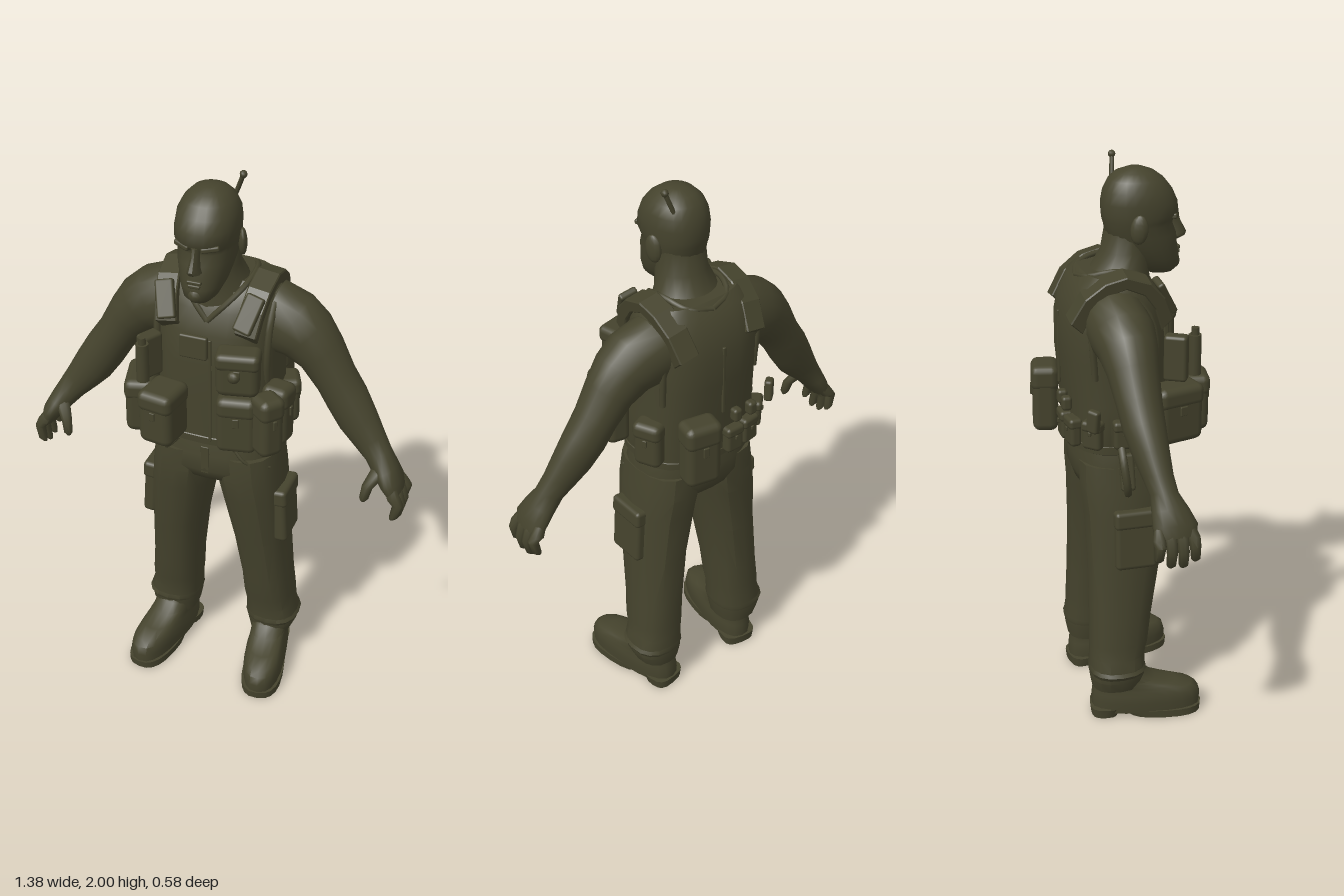
import * as THREE from 'three';
import { toCreasedNormals } from 'three/addons/utils/BufferGeometryUtils.js';
import { RoundedBoxGeometry } from 'three/addons/geometries/RoundedBoxGeometry.js';

const olive = new THREE.MeshStandardMaterial({ color: 0x45432d });
olive.name = 'olive';

// Skin stacked rings [x, y, z, a, b, tilt], lowest first; tilt leans a ring in the xy plane
function loft(rings, n = 20, power = 2, crease = 0.75) {
  const pos = [], idx = [];
  const sp = (v) => Math.sign(v) * Math.pow(Math.abs(v), 2 / power);
  for (const [x, y, z, a, b, t = 0] of rings) {
    for (let i = 0; i < n; i++) {
      const q = (i / n) * Math.PI * 2, u = a * sp(Math.cos(q));
      pos.push(x + u * Math.cos(t), y + u * Math.sin(t), z + b * sp(Math.sin(q)));
    }
  }
  const last = rings.length - 1;
  for (let j = 0; j < last; j++) {
    for (let i = 0; i < n; i++) {
      const p = j * n + i, q = j * n + (i + 1) % n;
      idx.push(p, p + n, q, q, p + n, q + n);
    }
  }
  const lo = rings.length * n;
  pos.push(...rings[0].slice(0, 3), ...rings[last].slice(0, 3));
  for (let i = 0; i < n; i++) {
    const k = (i + 1) % n;
    idx.push(lo, i, k, lo + 1, last * n + k, last * n + i);
  }
  const g = new THREE.BufferGeometry();
  g.setAttribute('position', new THREE.Float32BufferAttribute(pos, 3));
  g.setIndex(idx);
  return toCreasedNormals(g, crease);
}

// Ring given as height, front z, back z, half width
const slab = (cx) => ([y, zf, zb, w]) => [cx, y, (zf + zb) / 2, w, (zf - zb) / 2];

function add(parent, name, geo, p = [0, 0, 0], r = [0, 0, 0]) {
  const m = new THREE.Mesh(geo, olive);
  m.name = name;
  m.position.set(...p);
  m.rotation.set(...r);
  parent.add(m);
  return m;
}

const box = (w, h, d, r = 0.012) => new RoundedBoxGeometry(w, h, d, 2, Math.min(r, w / 3, h / 3, d / 3));

// Pouch with a lid flap and a tab on its +z face
function pouch(parent, name, p, [w, h, d], ry = 0) {
  const g = new THREE.Group();
  g.name = name;
  g.position.set(...p);
  g.rotation.y = ry;
  add(g, 'pouchBody', box(w, h, d, 0.028));
  add(g, 'pouchFlap', box(w + 0.004, h * 0.38, d + 0.008, 0.026), [0, h * 0.32, 0]);
  add(g, 'pouchTab', box(w * 0.16, h * 0.16, 0.008), [0, h * 0.1, d / 2 + 0.003]);
  parent.add(g);
}

const tube = (pts, r) => new THREE.TubeGeometry(
  new THREE.CatmullRomCurve3(pts.map((p) => new THREE.Vector3(...p))), 16, r, 7);

function buildHead() {
  const g = new THREE.Group();
  g.name = 'head';
  add(g, 'skull', loft([
    [1.605, 0.185, 0.10, 0.035], [1.625, 0.205, 0.06, 0.056], [1.66, 0.205, 0.02, 0.073],
    [1.70, 0.198, -0.02, 0.084], [1.74, 0.194, -0.045, 0.093], [1.775, 0.180, -0.05, 0.097],
    [1.79, 0.183, -0.055, 0.10], [1.81, 0.201, -0.058, 0.103], [1.85, 0.196, -0.06, 0.104],
    [1.89, 0.178, -0.052, 0.099], [1.925, 0.150, -0.035, 0.082], [1.948, 0.118, -0.01, 0.058],
    [1.962, 0.08, 0.03, 0.025],
  ].map(slab(-0.012)), 24, 2.2, 0.9));
  add(g, 'neck', loft([
    [1.50, 0.11, -0.15, 0.15], [1.58, 0.105, -0.13, 0.135], [1.63, 0.10, -0.095, 0.108],
    [1.69, 0.11, -0.06, 0.088], [1.77, 0.10, -0.045, 0.085],
  ].map(slab(-0.008)), 20, 2));
  add(g, 'nose', loft([
    [1.712, 0.205, 0.16, 0.018], [1.722, 0.228, 0.16, 0.025], [1.735, 0.234, 0.16, 0.021],
    [1.775, 0.212, 0.16, 0.013], [1.805, 0.204, 0.16, 0.014],
  ].map(slab(-0.012)), 10));
  add(g, 'upperLip', box(0.05, 0.012, 0.026), [-0.012, 1.686, 0.194]);
  add(g, 'lowerLip', box(0.042, 0.012, 0.026), [-0.012, 1.672, 0.194]);
  add(g, 'chin', new THREE.SphereGeometry(0.03, 12, 8), [-0.012, 1.637, 0.182]);
  for (const s of [-1, 1]) {
    add(g, 'brow', box(0.06, 0.018, 0.03), [-0.012 + s * 0.045, 1.803, 0.176], [0, s * 0.4, s * 0.12]);
    const ear = add(g, 'ear', new THREE.SphereGeometry(0.05, 12, 8), [-0.012 + s * 0.105, 1.777, 0.042], [0.1, s * 0.35, 0]);
    ear.scale.set(0.3, 0.98, 0.6);
  }
  add(g, 'antenna', tube([[0.04, 1.89, -0.01], [0.06, 1.94, -0.005], [0.075, 1.98, 0]], 0.008));
  add(g, 'antennaTip', new THREE.SphereGeometry(0.013, 8, 6), [0.078, 1.987, 0]);
  return g;
}

// Left arm and hand, from the wrist up
function buildArm() {
  const g = new THREE.Group();
  g.name = 'arm';
  add(g, 'armSkin', loft([
    [0.648, 0.925, 0.02, 0.028, 0.066, 0.35], [0.632, 0.96, 0.02, 0.038, 0.074, 0.4],
    [0.605, 1.00, 0.012, 0.044, 0.062, 0.5], [0.572, 1.045, 0, 0.05, 0.046, 0.55],
    [0.535, 1.09, -0.01, 0.06, 0.05, 0.55], [0.49, 1.15, -0.02, 0.072, 0.06, 0.6],
    [0.445, 1.22, -0.03, 0.076, 0.07, 0.62], [0.40, 1.29, -0.035, 0.074, 0.075, 0.65],
    [0.345, 1.375, -0.04, 0.086, 0.085, 0.7], [0.29, 1.43, -0.042, 0.106, 0.098, 0.8],
    [0.235, 1.46, -0.045, 0.122, 0.108, 1.0], [0.17, 1.485, -0.05, 0.118, 0.105, 1.3],
  ], 18, 2, 1));
  for (let i = 0; i < 4; i++) {
    const z = 0.076 - i * 0.038, tip = [0.84, 0.822, 0.826, 0.85][i];
    add(g, 'finger', loft([
      [0.655, tip, z * 1.06, 0.008, 0.008], [0.662, tip + 0.012, z * 1.06, 0.016, 0.016],
      [0.672, tip + 0.06, z, 0.019, 0.019, 0.1], [0.655, 0.925, z, 0.024, 0.021, 0.3],
      [0.632, 0.965, z * 0.8, 0.02, 0.018, 0.4],
    ], 8, 2, 1));
  }
  add(g, 'thumb', loft([
    [0.553, 0.895, 0.088, 0.007, 0.007], [0.555, 0.908, 0.087, 0.016, 0.016],
    [0.562, 0.95, 0.078, 0.019, 0.019, -0.2], [0.59, 1.0, 0.045, 0.026, 0.026, -0.3],
    [0.605, 1.03, 0.02, 0.015, 0.02],
  ], 8, 2, 1));
  return g;
}

// Left trouser leg, cargo pocket and boot
function buildLeg() {
  const g = new THREE.Group();
  g.name = 'leg';
  add(g, 'trouserLeg', loft([
    [0.19, 0.12, -0.058, 0.078, 0.088], [0.195, 0.165, -0.057, 0.092, 0.098],
    [0.194, 0.21, -0.056, 0.096, 0.1], [0.188, 0.25, -0.054, 0.09, 0.098],
    [0.184, 0.30, -0.048, 0.092, 0.104], [0.176, 0.4, -0.04, 0.09, 0.11],
    [0.158, 0.6, -0.022, 0.097, 0.127], [0.132, 0.8, -0.01, 0.112, 0.147],
    [0.118, 0.89, -0.008, 0.117, 0.158], [0.11, 0.98, -0.01, 0.112, 0.155],
  ], 16, 2.4, 0.5));
  add(g, 'cuffFold', loft([
    [0.195, 0.175, -0.057, 0.09, 0.096], [0.197, 0.195, -0.056, 0.1, 0.104], [0.19, 0.225, -0.056, 0.09, 0.096],
  ], 16, 2.4));
  add(g, 'cargoPocket', box(0.05, 0.2, 0.145, 0.016), [0.247, 0.715, -0.003], [0, 0, 0.06]);
  add(g, 'cargoFlap', box(0.054, 0.065, 0.15, 0.014), [0.245, 0.80, -0.003], [0, 0, 0.06]);
  add(g, 'hipPocketSeam', tube([[0.1, 1.03, 0.137], [0.145, 0.98, 0.136], [0.212, 0.94, 0.075]], 0.006));
  const boot = new THREE.Group();
  boot.name = 'boot';
  boot.position.set(0.19, 0, -0.04);
  boot.rotation.y = 0.17;
  add(boot, 'bootUpper', loft([
    [0.02, 0.287, -0.105, 0.072], [0.06, 0.29, -0.108, 0.075], [0.09, 0.282, -0.105, 0.073],
    [0.108, 0.26, -0.103, 0.068], [0.122, 0.2, -0.102, 0.066], [0.14, 0.125, -0.1, 0.066],
    [0.17, 0.085, -0.1, 0.07], [0.2, 0.07, -0.1, 0.07],
  ].map(slab(0)), 20, 2.5));
  add(boot, 'foreSole', loft([[0, 0.29, 0.02, 0.075], [0.028, 0.293, 0.0, 0.076]].map(slab(0)), 20, 2.6));
  add(boot, 'heel', loft([[0, -0.01, -0.108, 0.062], [0.035, 0.01, -0.112, 0.068]].map(slab(0)), 16, 3));
  g.add(boot);
  return g;
}

function buildVest() {
  const g = new THREE.Group();
  g.name = 'vest';
  add(g, 'vestShell', loft([
    [1.03, 0.135, -0.175, 0.212], [1.045, 0.148, -0.188, 0.22], [1.2, 0.148, -0.195, 0.214],
    [1.35, 0.15, -0.21, 0.208], [1.46, 0.138, -0.21, 0.208], [1.54, 0.112, -0.192, 0.205],
    [1.60, 0.078, -0.16, 0.19], [1.63, 0.045, -0.13, 0.16],
  ].map(slab(0)), 28, 2.8, 0.6));
  add(g, 'hemBand', loft([
    [1.028, 0.137, -0.177, 0.213], [1.034, 0.15, -0.19, 0.222], [1.06, 0.151, -0.191, 0.222], [1.066, 0.145, -0.185, 0.214],
  ].map(slab(0)), 28, 2.8));
  // Shoulder straps bent over each shoulder, modelled about the shoulder height
  const top = 1.6;
  const arc = [[0.14, 1.49], [0.11, 1.565], [0.06, 1.62], [-0.02, 1.648], [-0.09, 1.63], [-0.155, 1.58], [-0.2, 1.5]];
  const shape = new THREE.Shape();
  arc.forEach(([z, y], i) => (i ? shape.lineTo(z, y - top) : shape.moveTo(z, y - top)));
  [...arc].reverse().forEach(([z, y]) => shape.lineTo((z + 0.02) * 0.8 - 0.02, y - 0.035 - top));
  const strap = new THREE.ExtrudeGeometry(shape, { depth: 0.07, bevelEnabled: true, bevelSize: 0.004, bevelThickness: 0.004, bevelSegments: 1 });
  strap.translate(0, 0, -0.035).rotateY(-Math.PI / 2);
  for (const s of [-1, 1]) {
    add(g, 'shoulderStrap', strap, [s * 0.155, top, 0], [0, 0, -s * 0.15]);
    add(g, 'strapPad', box(0.065, 0.13, 0.025), [s * 0.145, 1.56, 0.122], [-0.5, 0, -s * 0.25]);
    add(g, 'collarEdge', tube([[0, 1.505, 0.12], [s * 0.055, 1.565, 0.102], [s * 0.105, 1.62, 0.05],
      [s * 0.115, 1.642, -0.04], [s * 0.08, 1.622, -0.12], [0, 1.608, -0.146]], 0.01));
    add(g, 'armholeEdge', tube([[s * 0.19, 1.25, 0.06], [s * 0.196, 1.4, 0.08], [s * 0.198, 1.52, 0.05],
      [s * 0.196, 1.585, -0.04], [s * 0.2, 1.5, -0.13], [s * 0.196, 1.3, -0.13]], 0.012));
  }
  add(g, 'frontZip', box(0.01, 0.4, 0.008), [0.02, 1.25, 0.148]);
  add(g, 'backSeam', box(0.012, 0.26, 0.01), [0, 1.36, -0.207]);
  return g;
}

function buildGear() {
  const g = new THREE.Group();
  g.name = 'gear';
  add(g, 'chestPatch', box(0.1, 0.085, 0.02), [-0.038, 1.415, 0.148], [-0.04, 0, 0]);
  pouch(g, 'chestPouch', [0.13, 1.37, 0.175], [0.145, 0.16, 0.085], 0.22);
  add(g, 'chestPouchKnob', new THREE.SphereGeometry(0.022, 10, 8), [0.13, 1.375, 0.218]);
  pouch(g, 'leftFrontPouch', [0.125, 1.165, 0.17], [0.135, 0.21, 0.07], 0.2);
  pouch(g, 'rightFrontPouch', [-0.125, 1.175, 0.21], [0.125, 0.2, 0.14], -0.15);
  pouch(g, 'rightSidePouch', [-0.23, 1.175, 0.14], [0.17, 0.2, 0.1], -1.3);
  for (const [x, z, ry] of [[0.23, 0.165, 0.9], [0.24, 0.08, 1.4]]) {
    pouch(g, 'leftSidePouch', [x, 1.18, z], [0.09, 0.22, 0.09], ry);
  }
  // Radio on the right chest
  add(g, 'radio', box(0.05, 0.16, 0.08), [-0.195, 1.355, 0.15], [0, -0.5, 0]);
  add(g, 'radioBarrel', new THREE.CylinderGeometry(0.022, 0.022, 0.14, 12), [-0.193, 1.36, 0.215]);
  add(g, 'radioKnob', new THREE.CylinderGeometry(0.014, 0.014, 0.03, 8), [-0.193, 1.44, 0.215]);
  // Back and flank pouches
  pouch(g, 'backPouch', [0.12, 1.14, -0.232], [0.13, 0.24, 0.09], Math.PI - 0.2);
  pouch(g, 'leftRearPouch', [0.22, 1.14, -0.09], [0.1, 0.17, 0.07], 2.0);
  for (const [x, y, z, ry] of [[-0.05, 1.1, -0.2, 0], [-0.125, 1.1, -0.19, 0.15], [-0.205, 1.11, -0.14, 0.8], [-0.228, 1.11, -0.04, 1.5]]) {
    pouch(g, 'smallPouch', [x, y, z], [0.07, 0.1, 0.04], Math.PI + ry);
  }
  for (const x of [-0.055, -0.12]) add(g, 'backClip', box(0.035, 0.05, 0.035), [x, 1.2, -0.21]);
  add(g, 'flankClip', box(0.045, 0.08, 0.03), [-0.255, 1.18, -0.15], [0, 0.7, 0.1]);
  // Carry loop and sheath on the right hip
  add(g, 'hipLoop', tube([[-0.225, 1.08, -0.05], [-0.27, 1.02, -0.05], [-0.28, 0.94, -0.04], [-0.25, 0.9, -0.03], [-0.22, 0.96, -0.03]], 0.014));
  add(g, 'hipSheath', box(0.035, 0.13, 0.05), [-0.238, 0.975, -0.03], [0, 0, -0.25]);
  return g;
}

export function createModel() {
  const model = new THREE.Group();
  model.name = 'soldier';
  model.add(buildHead(), buildVest(), buildGear());
  add(model, 'hips', loft([
    [0.845, 0.08, -0.11, 0.07], [0.875, 0.13, -0.155, 0.16], [0.92, 0.152, -0.172, 0.222],
    [0.98, 0.147, -0.175, 0.22], [1.05, 0.135, -0.165, 0.208],
  ].map(slab(0)), 24, 2.5));
  add(model, 'fly', box(0.03, 0.11, 0.008), [0, 0.965, 0.147]);
  for (const [side, s] of [['left', 1], ['right', -1]]) {
    const half = new THREE.Group();
    half.name = side + 'Limbs';
    half.add(buildArm(), buildLeg());
    half.scale.x = s;
    model.add(half);
  }
  return model;
}
